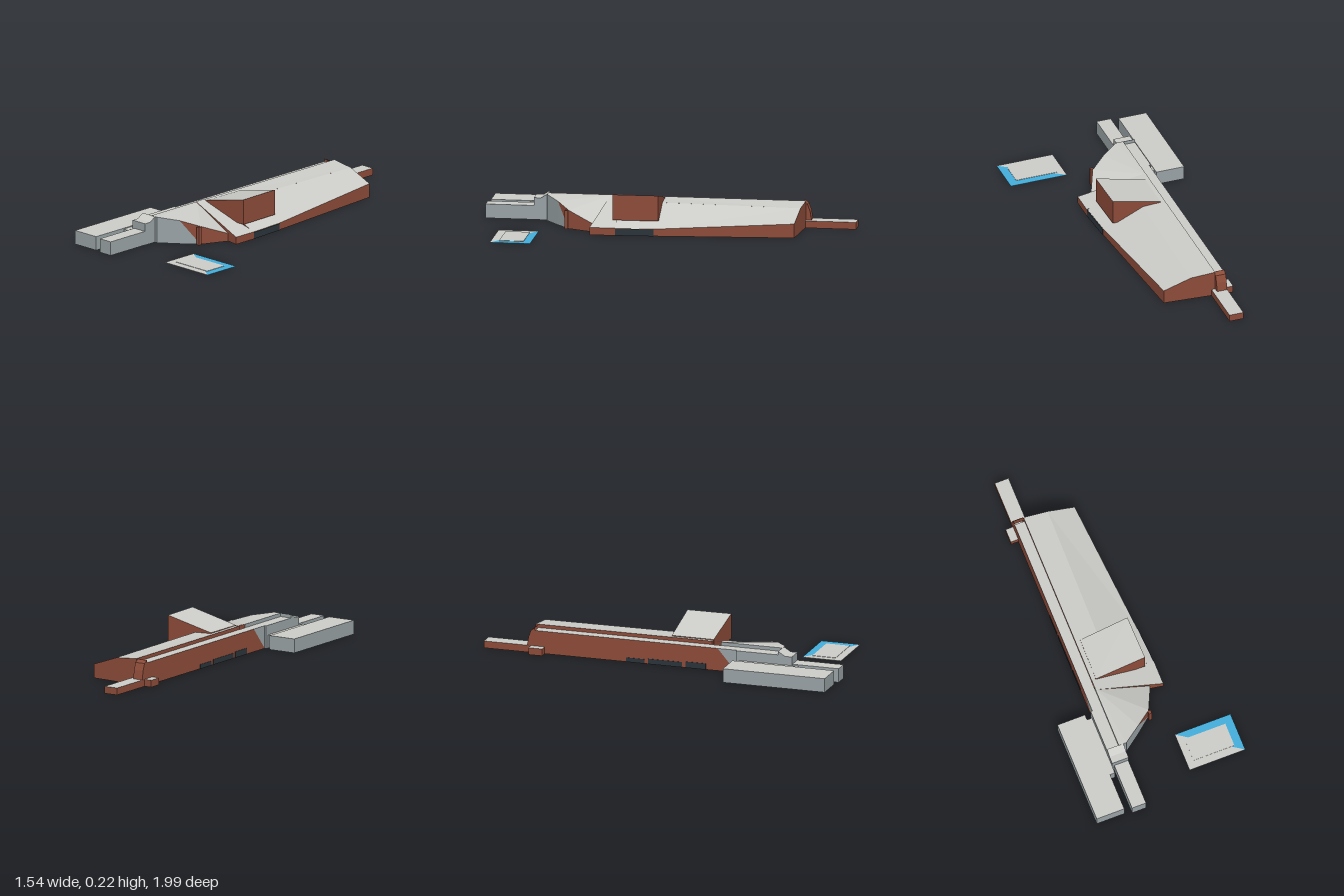
import * as THREE from 'three';

const mat = (name, color) => {
  const m = new THREE.MeshStandardMaterial({ color, side: THREE.DoubleSide });
  m.name = name;
  return m;
};

export function createModel() {
  const roof = mat('pale grey roof', 0xcbccc7);
  const stone = mat('cool grey wall', 0x98a2a5);
  const brick = mat('brown brick', 0x8c4b39);
  const glass = mat('dark glazing', 0x2b343a);
  const blue = mat('blue paving', 0x43adda);

  // local x runs along the building, local z across it
  const building = new THREE.Group();
  building.name = 'building';
  building.rotation.y = 0.8966;

  // Shell over a footprint of [along, across, topHeight] corners, open below unless
  // a base is given. A wall entry may be null (left out) or a pair: lower and upper triangle.
  function solid(name, pts, { top = roof, wall = brick, walls = [], base = null, y0 = 0 } = {}) {
    const buckets = new Map();
    const tri = (m, ...corners) => {
      if (!m) return;
      if (!buckets.has(m)) buckets.set(m, []);
      corners.forEach(c => buckets.get(m).push(...c));
    };
    const T = pts.map(([u, v, h]) => [u, h, v]);
    const B = pts.map(([u, v]) => [u, y0, v]);
    const n = pts.length;
    for (let i = 1; i < n - 1; i++) {
      tri(top, T[0], T[i], T[i + 1]);
      tri(base, B[0], B[i + 1], B[i]);
    }
    for (let i = 0; i < n; i++) {
      const j = (i + 1) % n;
      const m = [walls[i] === undefined ? wall : walls[i]].flat();
      tri(m[0], B[i], B[j], T[i]);
      tri(m[m.length - 1], T[i], B[j], T[j]);
    }
    const geo = new THREE.BufferGeometry();
    const pos = [];
    [...buckets.values()].forEach((list, k) => {
      geo.addGroup(pos.length / 3, list.length / 3, k);
      list.forEach(x => pos.push(x));
    });
    geo.setAttribute('position', new THREE.Float32BufferAttribute(pos, 3));
    geo.computeVertexNormals();
    const mesh = new THREE.Mesh(geo, [...buckets.keys()]);
    mesh.name = name;
    building.add(mesh);
  }

  // Rectangular block whose top may slope along the building
  const block = (name, u0, u1, v0, v1, h0, opts, h1 = h0) =>
    solid(name, [[u0, v0, h0], [u0, v1, h0], [u1, v1, h1], [u1, v0, h1]], opts);

  const grey = { wall: stone };

  // main hall: nearly flat upper roof, then a slope down to the eaves
  const midSW = [-0.115, 0.1, 0.145], midM = [0.115, 0.102, 0.143], midNE = [0.912, 0.11, 0.137];
  const eaveSW = [-0.1, 0.346, 0.04], eaveM = [0.115, 0.334, 0.04], eaveNE = [0.9, 0.268, 0.08];
  solid('upperRoof', [[-0.115, -0.03, 0.15], midSW, midNE, [0.923, -0.03, 0.15]], { walls: [brick, null] });
  solid('slopedRoofLong', [midNE, midM, eaveM, eaveNE], { walls: [null, null] });
  solid('slopedRoofShort', [midM, midSW, eaveSW, eaveM], { walls: [null, brick, brick, null] });

  // long side aisle; its wall turns from brick to grey along a diagonal
  block('sideAisle', -0.17, 0.907, -0.09, -0.03, 0.13, { walls: [null] });
  block('aisleTransition', -0.28, -0.17, -0.09, -0.03, 0.13, { walls: [null, stone, null, [brick, stone]] });

  // rounded end cap, porch and low corridor
  const cap = [[0.907, 0.145], [0.93, 0.13], [0.945, 0.09], [0.953, 0.04]];
  for (let i = 0; i < 3; i++)
    block('endCap', cap[i][0], cap[i + 1][0], -0.09, -0.03, cap[i][1], { top: brick, walls: [null, brick, null] }, cap[i + 1][1]);
  block('endPorch', 0.85, 0.93, -0.135, -0.09, 0.04, { wall: brick });
  block('endCorridor', 0.92, 1.208, -0.091, -0.008, 0.04);

  // shed dormer rising towards the outer side
  solid('dormer', [[-0.118, -0.004, 0.152], [-0.122, 0.288, 0.22], [0.134, 0.283, 0.22], [0.13, -0.002, 0.152]],
    { y0: 0.075 });

  // ramped cross slab
  solid('crossRamp', [[-0.177, -0.03, 0.152], [-0.244, 0.35, 0.042], [-0.1, 0.35, 0.042], [-0.115, -0.03, 0.152]],
    { walls: [brick, brick, null, null] });

  // faceted front apse, grey wall turning to brick
  solid('apse', [[-0.17, -0.03, 0.15], [-0.532, -0.03, 0.15], [-0.532, 0.015, 0.15], [-0.456, 0.117, 0.135],
    [-0.382, 0.208, 0.105], [-0.232, 0.276, 0.045]],
    { walls: [stone, stone, stone, [stone, brick], brick, null] });
  block('apsePost', -0.405, -0.385, 0.2, 0.218, 0.105, { top: brick });

  // stepped grey annex and platforms
  block('annexStep', -0.61, -0.57, -0.1, -0.002, 0.125, { wall: stone, walls: [stone, stone, null] });
  block('annexSlope', -0.57, -0.53, -0.1, -0.002, 0.125, { wall: stone, walls: [null] }, 0.15);
  block('annexAisle', -0.53, -0.28, -0.1, -0.03, 0.13, grey);
  block('narrowPlatform', -0.882, -0.61, -0.088, -0.004, 0.08, grey);
  block('platformLink', -0.65, -0.3, -0.13, -0.1, 0.075, grey);
  block('widePlatform', -0.87, -0.27, -0.295, -0.13, 0.08, grey);

  // glazing strips low on both long walls
  const dark = { top: glass, wall: glass, base: glass };
  solid('outerGlazing', [[-0.1, 0.343, 0.038], [-0.1, 0.35, 0.038], [0.115, 0.338, 0.038], [0.115, 0.331, 0.038]], dark);
  for (const [u0, u1, h] of [[-0.1, 0.02, 0.035], [0.04, 0.24, 0.03], [0.26, 0.37, 0.025]])
    block('aisleGlazing', u0, u1, -0.0925, -0.0895, h, dark);

  // separate paved square: two triangles with an inset slab
  const N = [-0.536, 0.304, 0.002], E = [-0.536, 0.638, 0.002];
  const S = [-0.763, 0.638, 0.002], W = [-0.763, 0.304, 0.002];
  solid('bluePaving', [S, E, N], { top: blue, wall: blue, base: blue });
  solid('greyPaving', [N, W, S], { wall: roof, base: roof });
  block('pavingInset', -0.718, -0.58, 0.345, 0.59, 0.004, { wall: roof, y0: 0.002 });

  const model = new THREE.Group();
  model.name = 'stationComplex';
  model.add(building);
  return model;
}
